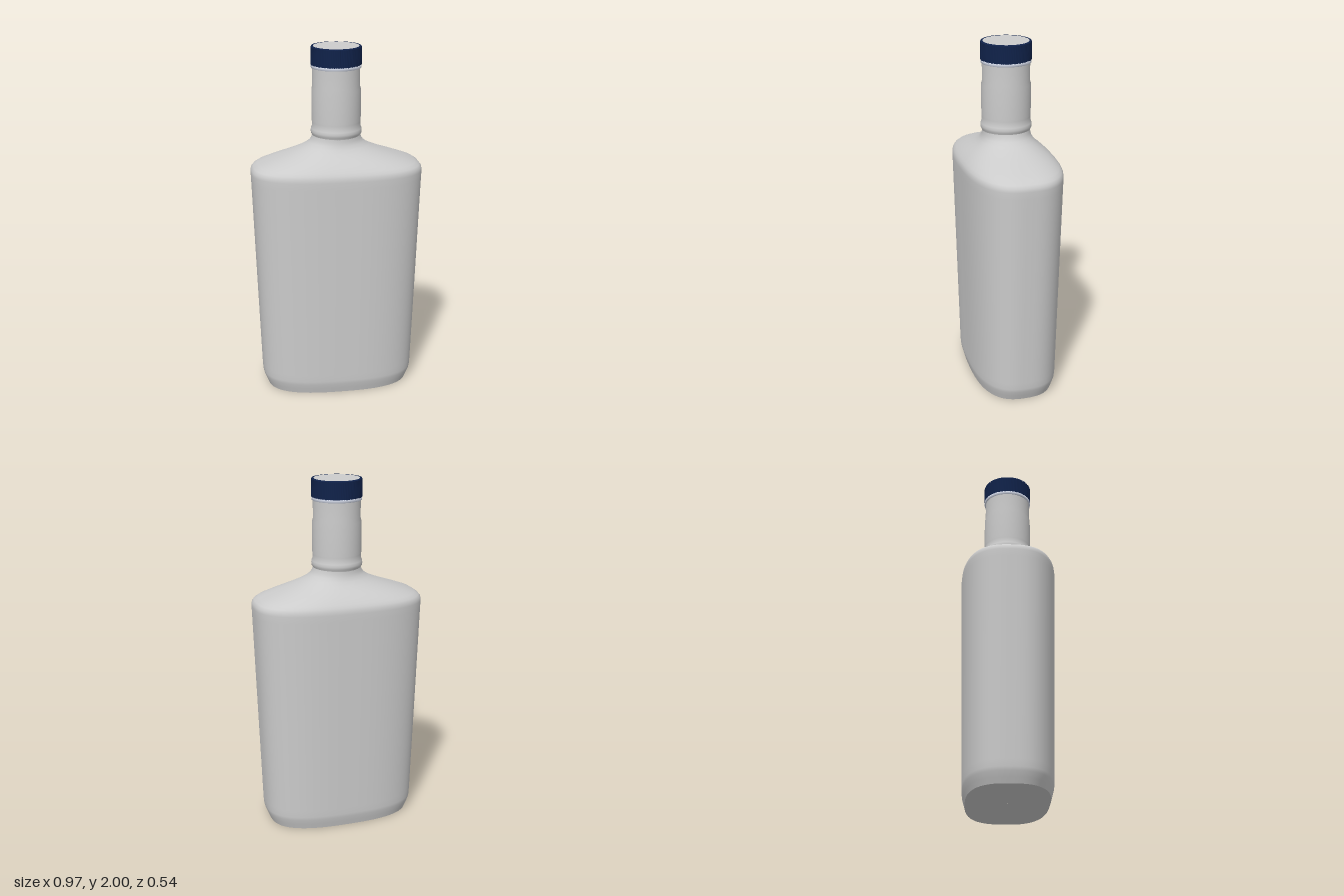
import * as THREE from 'three';

const grey = new THREE.MeshStandardMaterial({ color: 0xcccccc });
const navy = new THREE.MeshStandardMaterial({ color: 0x10224a });
const pale = new THREE.MeshStandardMaterial({ color: 0xd5dbea });

// Skin of superellipse rings [y, half width, half depth, exponent], listed upwards
function loft(rings, sides = 128) {
  const pos = [], index = [];
  const power = (v, e) => Math.sign(v) * Math.abs(v) ** e;
  rings.forEach(([y, a, b, n], i) => {
    for (let j = 0; j < sides; j++) {
      const t = (j / sides) * Math.PI * 2;
      pos.push(a * power(Math.cos(t), 2 / n), y, b * power(Math.sin(t), 2 / n));
      if (i === 0) continue;
      const k = (j + 1) % sides, lo = (i - 1) * sides, hi = i * sides;
      index.push(lo + j, hi + j, lo + k, hi + j, hi + k, lo + k);
    }
  });
  const g = new THREE.BufferGeometry();
  g.setAttribute('position', new THREE.Float32BufferAttribute(pos, 3));
  g.setIndex(index);
  g.computeVertexNormals();
  return g;
}

function lathe(points, segments = 64) {
  return new THREE.LatheGeometry(points.map(([r, y]) => new THREE.Vector2(r, y)), segments);
}

export function createModel() {
  const group = new THREE.Group();
  const add = (name, geometry, material) => {
    const m = new THREE.Mesh(geometry, material);
    m.name = name;
    group.add(m);
  };

  // Base with a shallow hollow
  const N = 2.7;
  add('base', loft([[0.012, 0.001, 0.001, N], [0.008, 0.2, 0.11, N], [0, 0.38, 0.205, N], [0, 0.415, 0.228, N]]), grey);

  // Tapered flask body, round shoulder, blending to the circular neck
  add('body', loft([
    [0, 0.415, 0.228, N], [0.03, 0.427, 0.236, N], [0.06, 0.439, 0.244, N],
    [0.08, 0.443, 0.246, N], [0.12, 0.445, 0.247, N], [0.7, 0.464, 0.258, N],
    [1.26, 0.482, 0.269, N], [1.3, 0.484, 0.27, N], [1.32, 0.481, 0.268, N],
    [1.335, 0.469, 0.262, N], [1.35, 0.445, 0.252, 2.65], [1.37, 0.392, 0.234, 2.55],
    [1.39, 0.335, 0.213, 2.45], [1.41, 0.277, 0.19, 2.3], [1.43, 0.225, 0.168, 2.2],
    [1.45, 0.182, 0.15, 2.1], [1.47, 0.154, 0.14, 2], [1.49, 0.14, 0.135, 2],
    [1.51, 0.134, 0.134, 2],
  ]), grey);

  // Neck with a rounded ring at its foot and a slightly thicker sleeve
  add('neck', lathe([
    [0.134, 1.5], [0.135, 1.51], [0.141, 1.517], [0.143, 1.53], [0.141, 1.545], [0.136, 1.555],
    [0.135, 1.58], [0.137, 1.59], [0.137, 1.765], [0.132, 1.78], [0.132, 1.9],
  ]), grey);

  // Pale tamper collar under the cap
  add('collar', lathe([[0.13, 1.883], [0.139, 1.883], [0.139, 1.9], [0.13, 1.9]]), pale);

  // Finely ribbed cap: alternate corners are pulled in
  const ribs = 90;
  const cap = new THREE.CylinderGeometry(0.14, 0.14, 0.098, ribs * 2, 1, true);
  const p = cap.attributes.position;
  for (let i = 0; i < p.count; i++) {
    if (i % (ribs * 2 + 1) % 2) p.setXYZ(i, p.getX(i) * 0.975, p.getY(i), p.getZ(i) * 0.975);
  }
  cap.translate(0, 1.947, 0);
  cap.computeVertexNormals();
  add('cap', cap, navy);
  add('capUnderside', new THREE.RingGeometry(0.12, 0.138, 64).rotateX(Math.PI / 2).translate(0, 1.899, 0), navy);
  add('capRim', lathe([[0.139, 1.995], [0.137, 2], [0.127, 2]]), navy);
  add('capTop', new THREE.CircleGeometry(0.128, 64).rotateX(-Math.PI / 2).translate(0, 1.9995, 0), grey);
  return group;
}
